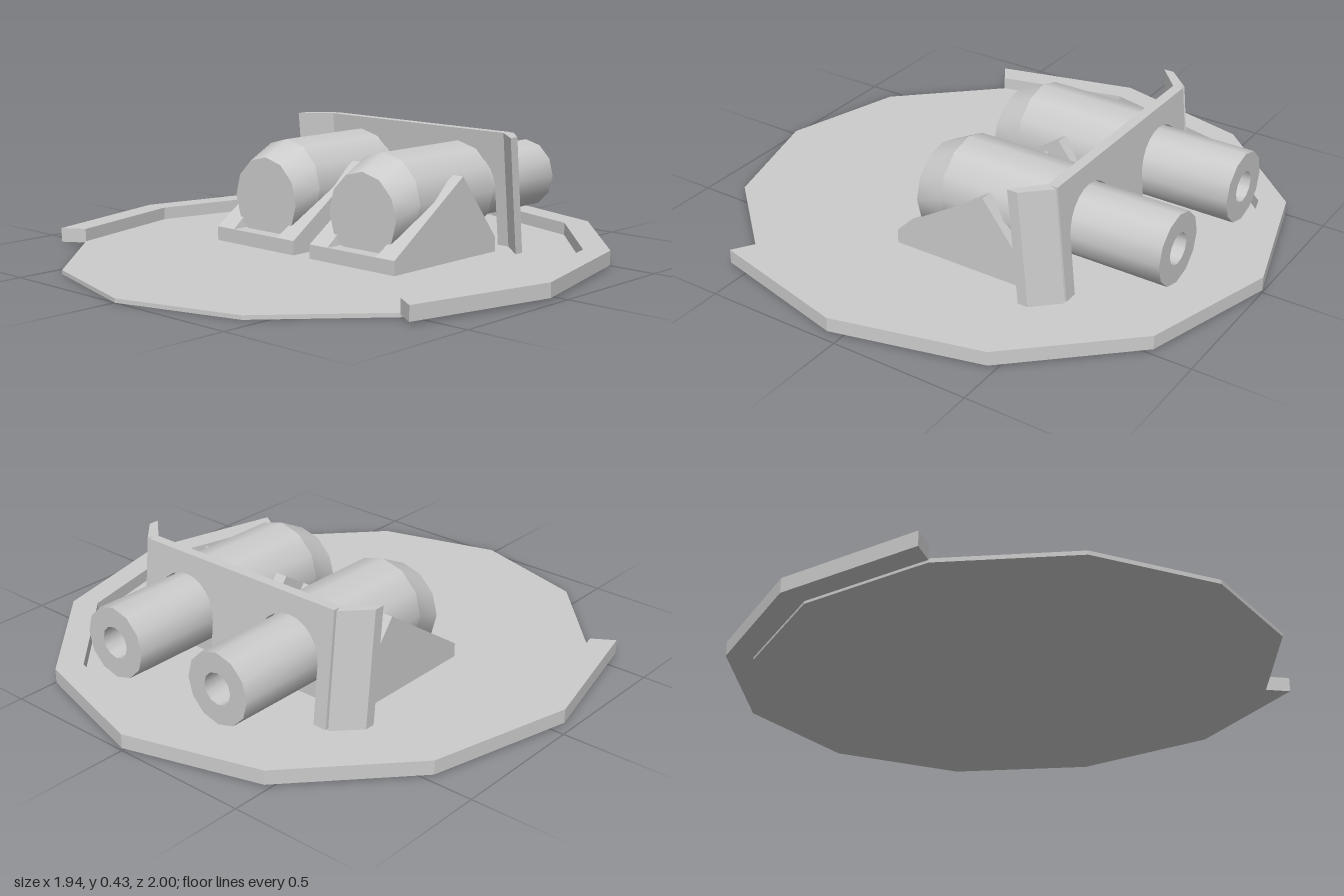
import * as THREE from 'three';
import { toCreasedNormals } from 'three/addons/utils/BufferGeometryUtils.js';

const material = new THREE.MeshStandardMaterial({ color: 0xcccccc });

function add(parent, name, geometry) {
  const mesh = new THREE.Mesh(geometry, material);
  mesh.name = name;
  parent.add(mesh);
  return mesh;
}

const toShape = (points) => new THREE.Shape(points.map(([x, y]) => new THREE.Vector2(x, y)));

// Upright prism over a plan outline of [x, z] points
function prism(plan, y0, y1) {
  const g = new THREE.ExtrudeGeometry(toShape(plan.map(([x, z]) => [x, -z])), { depth: y1 - y0, bevelEnabled: false });
  return g.rotateX(-Math.PI / 2).translate(0, y0, 0);
}

// Points on the platform's ellipse, step 0 at the back, 12 steps per turn
function ellipse(rx, rz, from, to) {
  const points = [];
  for (let i = from; i <= to; i++) {
    const a = (i * Math.PI) / 6;
    points.push([rx * Math.sin(a), 0.05 - rz * Math.cos(a)]);
  }
  return points;
}

// Move every vertex by a rule
function reshape(geometry, rule) {
  const p = geometry.attributes.position;
  const v = new THREE.Vector3();
  for (let i = 0; i < p.count; i++) {
    rule(v.fromBufferAttribute(p, i));
    p.setXYZ(i, v.x, v.y, v.z);
  }
  return geometry;
}

// The shield leans: its foot lies further back than its top
const TOP = 0.43;
const lean = (geometry) => {
  reshape(geometry, (v) => { v.z -= (TOP - v.y) * 0.1; });
  geometry.computeVertexNormals();
  return geometry;
};

// Triangular cheek, thicker at its foot than at its peak
function cheek(side) {
  const g = new THREE.ExtrudeGeometry(toShape([[0.175, 0.065], [-0.18, 0.305], [-0.365, 0.065]]), { depth: 1, bevelEnabled: false });
  g.rotateY(-Math.PI / 2);
  reshape(g, (v) => {
    const thick = THREE.MathUtils.mapLinear(v.y, 0.065, 0.305, 0.085, 0.045);
    v.x = side > 0 ? 0.195 + v.x * thick : -0.195 + (v.x + 1) * thick;
  });
  g.computeVertexNormals();
  return g;
}

function createGun() {
  const gun = new THREE.Group();
  const axis = 0.225;

  // Carriage
  add(gun, 'carriageBase', new THREE.BoxGeometry(0.39, 0.055, 0.54)).position.set(0, 0.0375, -0.095);
  add(gun, 'rightCheek', cheek(-1));
  add(gun, 'leftCheek', cheek(1));

  // Breech body with a drooping, tapered front end
  const body = new THREE.CylinderGeometry(0.165, 0.165, 0.4, 12).rotateX(-Math.PI / 2);
  add(gun, 'breechBody', body).position.set(0, axis, -0.19);
  const nose = new THREE.CylinderGeometry(0.165, 0.153, 0.11, 12).rotateX(-Math.PI / 2);
  reshape(nose, (v) => { v.y -= (v.z + 0.055) * 0.39; });
  nose.computeVertexNormals();
  add(gun, 'breechTaper', toCreasedNormals(nose, 0.7)).position.set(0, axis, 0.065);

  // Hollow barrel pointing to the back
  const profile = [[0.127, 0.36], [0.127, 0.8], [0.056, 0.8], [0.056, 0.6], [0, 0.6]];
  const barrel = new THREE.LatheGeometry(profile.map(([r, y]) => new THREE.Vector2(r, y)), 12);
  barrel.rotateX(-Math.PI / 2);
  add(gun, 'barrel', toCreasedNormals(barrel, 0.7)).position.y = axis;
  return gun;
}

function createShield() {
  const shield = new THREE.Group();
  shield.name = 'shield';

  // Front panel with two arched openings, open at the foot
  const foot = 0.012;
  const r = 0.132;
  const outline = new THREE.Shape();
  outline.moveTo(-0.42, foot);
  for (const cx of [-0.235, 0.235]) {
    outline.lineTo(cx - r, foot);
    outline.lineTo(cx - r, 0.225);
    outline.absarc(cx, 0.225, r, Math.PI, 0, true);
    outline.lineTo(cx + r, foot);
  }
  outline.lineTo(0.42, foot);
  outline.lineTo(0.42, TOP);
  outline.lineTo(-0.42, TOP);
  const panel = new THREE.ExtrudeGeometry(outline, { depth: 0.037, bevelEnabled: false, curveSegments: 6 });
  add(shield, 'shieldPanel', lean(panel.translate(0, 0, -0.459)));

  // Swept side wings
  for (const s of [-1, 1]) {
    const plan = [[0.415, -0.422], [0.515, -0.332], [0.515, -0.37], [0.43, -0.459]];
    add(shield, s > 0 ? 'leftWing' : 'rightWing', lean(prism(plan.map(([x, z]) => [s * x, z]), foot, TOP)));
  }
  return shield;
}

export function createModel() {
  const model = new THREE.Group();
  model.name = 'twinGunEmplacement';

  // Platform and the raised rim around its back
  add(model, 'platform', prism(ellipse(0.88, 0.95, 0, 11), 0, 0.014));
  const rim = [...ellipse(0.97, 1.05, -4, 4), ...ellipse(0.88, 0.95, -4, 4).reverse()];
  add(model, 'rim', prism(rim, 0.009, 0.06));

  for (const s of [-1, 1]) {
    const gun = createGun();
    gun.name = s > 0 ? 'leftGun' : 'rightGun';
    gun.position.x = s * 0.235;
    model.add(gun);
  }
  model.add(createShield());
  return model;
}
